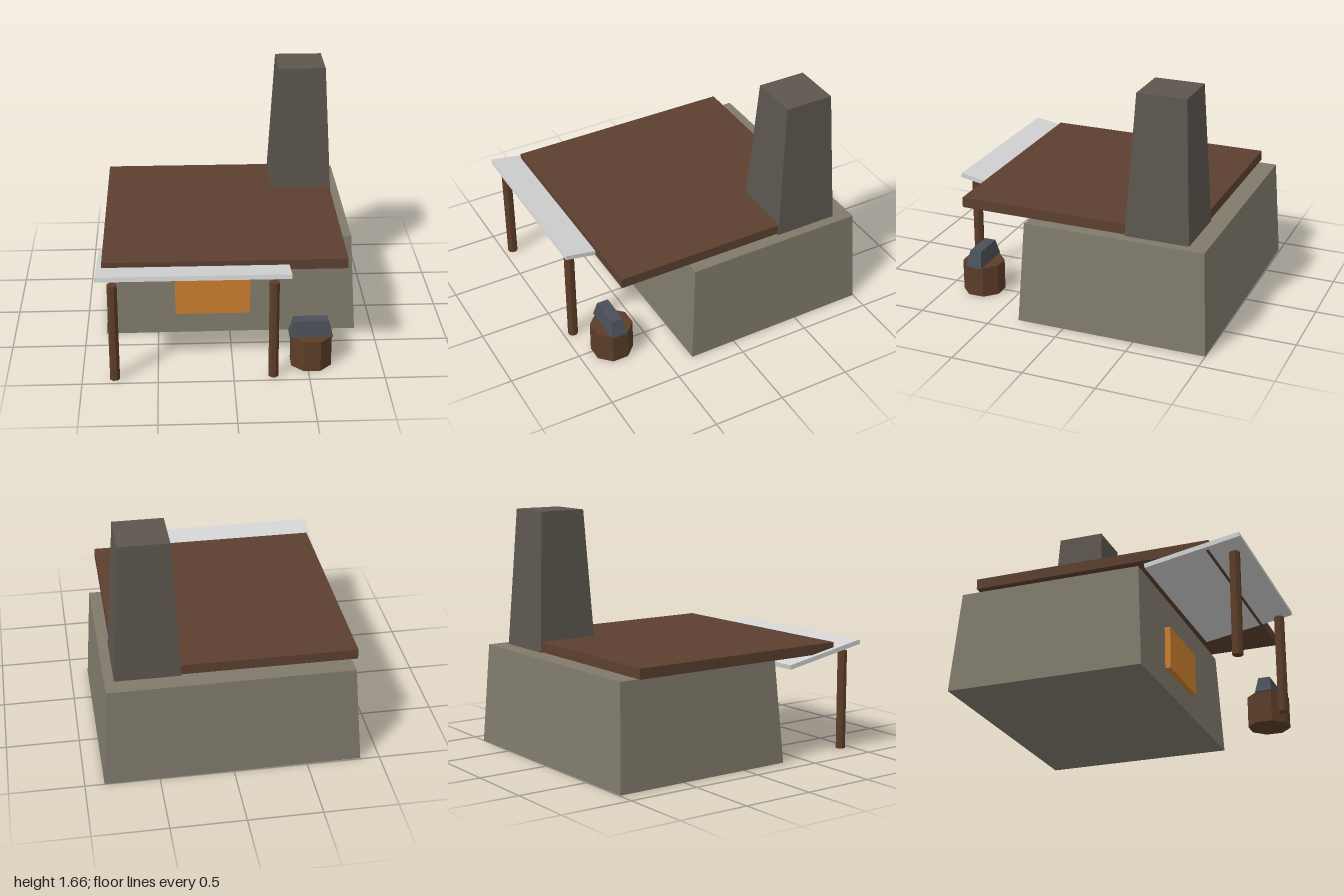
import * as THREE from 'three';

const mat = (name, color) => {
  const m = new THREE.MeshStandardMaterial({ color });
  m.name = name;
  return m;
};

// Box spanning [x0,x1] [y0,y1] [z0,z1]; the top may be a smaller [x0,x1,z0,z1] rectangle
function block([x0, x1], [y0, y1], [z0, z1], top = [x0, x1, z0, z1]) {
  const geo = new THREE.BoxGeometry(1, 1, 1);
  const p = geo.attributes.position;
  for (let i = 0; i < p.count; i++) {
    const up = p.getY(i) > 0;
    const [a, b, c, d] = up ? top : [x0, x1, z0, z1];
    p.setXYZ(i, p.getX(i) > 0 ? b : a, up ? y1 : y0, p.getZ(i) > 0 ? d : c);
  }
  geo.computeVertexNormals();
  return geo;
}

// Upright octagonal prism with a flat side facing front
function octagon(width, height) {
  const geo = new THREE.CylinderGeometry(1, 1, height, 8).toNonIndexed();
  const r = width / 2 / Math.cos(Math.PI / 8);
  geo.rotateY(Math.PI / 8).scale(r, 1, r).translate(0, height / 2, 0);
  geo.computeVertexNormals();
  return geo;
}

export function createModel() {
  const group = new THREE.Group();
  group.name = 'smithy';

  const stone = mat('wall stone', 0x807a6c);
  const darkStone = mat('chimney stone', 0x5c564e);
  const roofWood = mat('roof wood', 0x5c4030);
  const wood = mat('post wood', 0x5c3d28);
  const canvas = mat('awning grey', 0xd3d3d3);
  const ember = mat('forge orange', 0xcc802e);
  const iron = mat('iron', 0x4a5058);

  const add = (name, geo, material, x = 0, y = 0, z = 0) => {
    const mesh = new THREE.Mesh(geo, material);
    mesh.name = name;
    mesh.position.set(x, y, z);
    group.add(mesh);
    return mesh;
  };

  // Tapered stone building, turned very slightly
  const walls = add('walls', block([-0.865, 0.875], [0, 0.703], [-0.995, 0.332],
    [-0.81, 0.835, -0.957, 0.293]), stone);
  walls.rotation.y = 0.005;

  // Flat roof overhanging the front, and the chimney
  add('roof', block([-0.855, 0.755], [0.708, 0.778], [-0.83, 0.785]), roofWood);
  add('chimney', block([0.325, 0.767], [0.7, 1.665], [-0.838, -0.396],
    [0.376, 0.711, -0.785, -0.45]), darkStone);

  // Glowing forge opening on the front wall
  add('forgeOpening', block([-0.38, 0.14], [0.157, 0.447], [0.322, 0.36]), ember);

  // Sloping awning on two posts
  const awning = add('awning', new THREE.BoxGeometry(1.26, 0.031, 0.64), canvas, -0.26, 0.709, 0.683);
  awning.rotation.x = -0.175;
  for (const x of [-0.785, 0.263]) {
    add('awningPost', octagon(0.064, 0.695), wood, x, 0, 0.933);
  }

  // Anvil on a wooden stump
  add('stump', octagon(0.268, 0.218), wood, 0.525, 0, 0.762);
  add('anvil', block([0.376, 0.667], [0.217, 0.328], [0.71, 0.825],
    [0.41, 0.633, 0.727, 0.808]), iron);

  return group;
}
